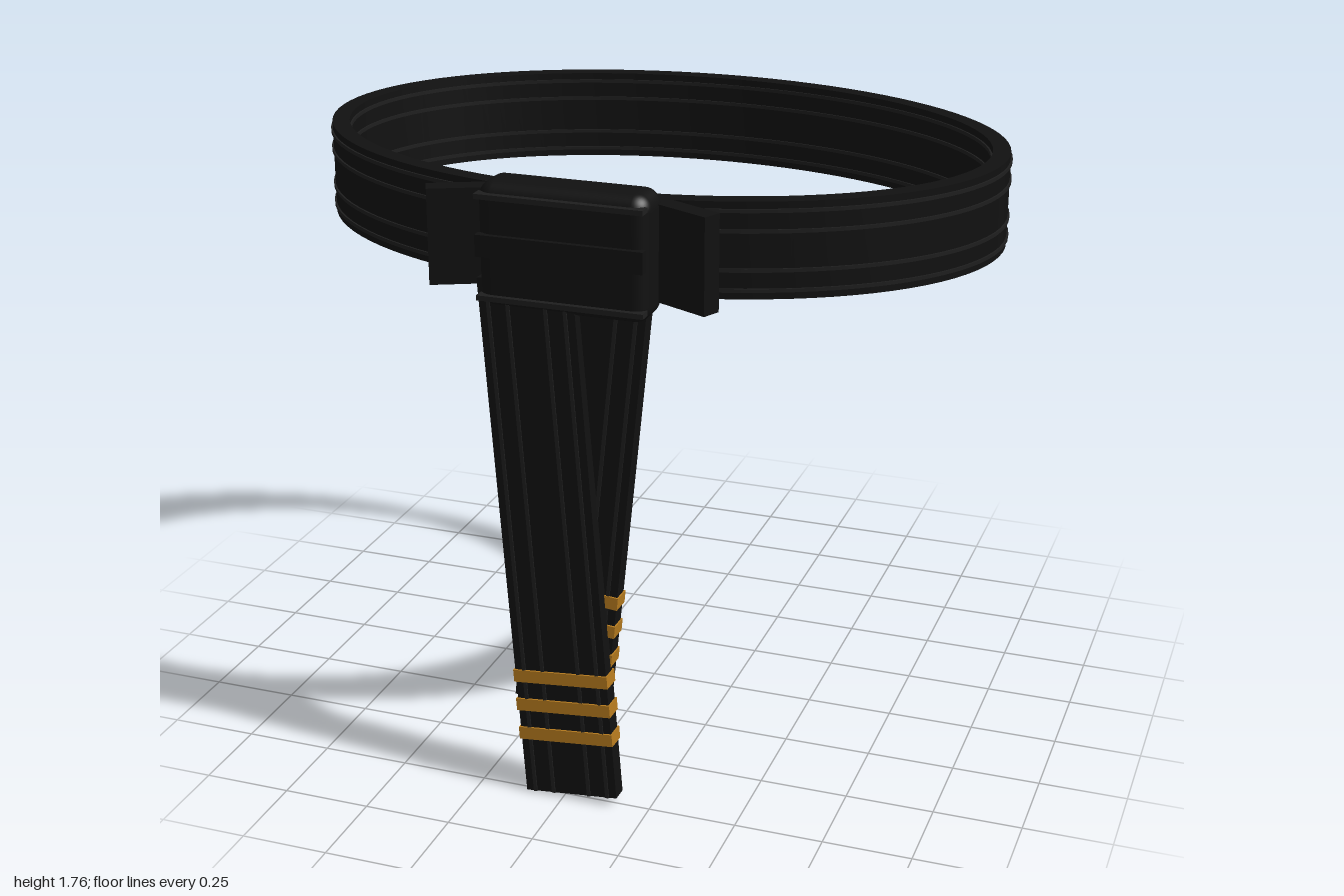
import * as THREE from 'three';
import { RoundedBoxGeometry } from 'three/addons/geometries/RoundedBoxGeometry.js';
import { toCreasedNormals } from 'three/addons/utils/BufferGeometryUtils.js';

const cloth = new THREE.MeshStandardMaterial({ color: 0x111111 });
const thread = new THREE.MeshStandardMaterial({ color: 0x1e1e1e });
const gold = new THREE.MeshStandardMaterial({ color: 0xb57a1e });

const BELT_Y = 1.593, WIDTH = 0.265, THICK = 0.05;
const STITCHES = [-0.108, -0.053, 0.053, 0.108]; // rows across the belt's width

function add(parent, name, geometry, material, x = 0, y = 0, z = 0) {
  const mesh = new THREE.Mesh(geometry, material);
  mesh.name = name;
  mesh.position.set(x, y, z);
  parent.add(mesh);
  return mesh;
}

// Upright elliptical band, centred on its own height
function ellipseBand(rx, rz, thickness, height) {
  const shape = new THREE.Shape().absellipse(0, 0, rx, rz, 0, Math.PI * 2);
  shape.holes.push(new THREE.Path().absellipse(0, 0, rx - thickness, rz - thickness, 0, Math.PI * 2, true));
  const geo = new THREE.ExtrudeGeometry(shape, { depth: height, bevelEnabled: false, curveSegments: 48 });
  geo.translate(0, 0, -height / 2).rotateX(-Math.PI / 2);
  return toCreasedNormals(geo, 0.6);
}

// Hanging end: origin at the middle of its bottom edge
function makeTail(name, length) {
  const tail = new THREE.Group();
  tail.name = name;
  add(tail, 'tailStrap', new THREE.BoxGeometry(WIDTH + 0.005, length, THICK), cloth, 0, length / 2, 0);
  for (const x of STITCHES)
    add(tail, 'tailStitch', new THREE.BoxGeometry(0.01, length, THICK + 0.008), thread, x, length / 2, 0);
  for (const y of [0.18, 0.268, 0.355])
    add(tail, 'rankStripe', new THREE.BoxGeometry(WIDTH + 0.013, 0.036, THICK + 0.012), gold, 0, y, 0);
  return tail;
}

export function createModel() {
  const model = new THREE.Group();
  model.name = 'knottedBelt';

  // Waist loop with its stitch rows
  const loop = new THREE.Group();
  loop.name = 'waistLoop';
  loop.position.set(0, BELT_Y, -0.08);
  model.add(loop);
  add(loop, 'loopBand', ellipseBand(0.995, 0.69, THICK, WIDTH), cloth);
  const stitch = ellipseBand(1, 0.695, THICK + 0.01, 0.01);
  for (const y of STITCHES) add(loop, 'loopStitch', stitch, thread, 0, y, 0);

  // Knot with raised folds across its front
  add(model, 'knot', new RoundedBoxGeometry(0.475, 0.345, 0.145, 5, 0.045), cloth, 0, BELT_Y, 0.658);
  add(model, 'knotFold', new THREE.BoxGeometry(0.465, 0.06, 0.025), cloth, 0, BELT_Y + 0.005, 0.733);
  for (const s of [-1, 1])
    add(model, 'knotEdge', new THREE.BoxGeometry(0.465, 0.014, 0.035), thread, 0, BELT_Y + s * 0.138, 0.728);

  // Short ends flaring out beside the knot
  for (const s of [-1, 1]) {
    const wing = add(model, 'knotWing', new THREE.BoxGeometry(0.24, WIDTH, 0.055), cloth, s * 0.287, BELT_Y, 0.63);
    wing.rotation.y = -s * 0.436;
  }

  // Two crossing tails, the front one longer
  const front = makeTail('frontTail', 1.5);
  front.position.set(0.025, 0.018, 0.744);
  front.rotation.set(-0.038, 0, 0.09);
  const back = makeTail('backTail', 1.25);
  back.position.set(-0.028, 0.262, 0.688);
  back.rotation.set(-0.026, 0, -0.095);
  model.add(front, back);

  return model;
}
